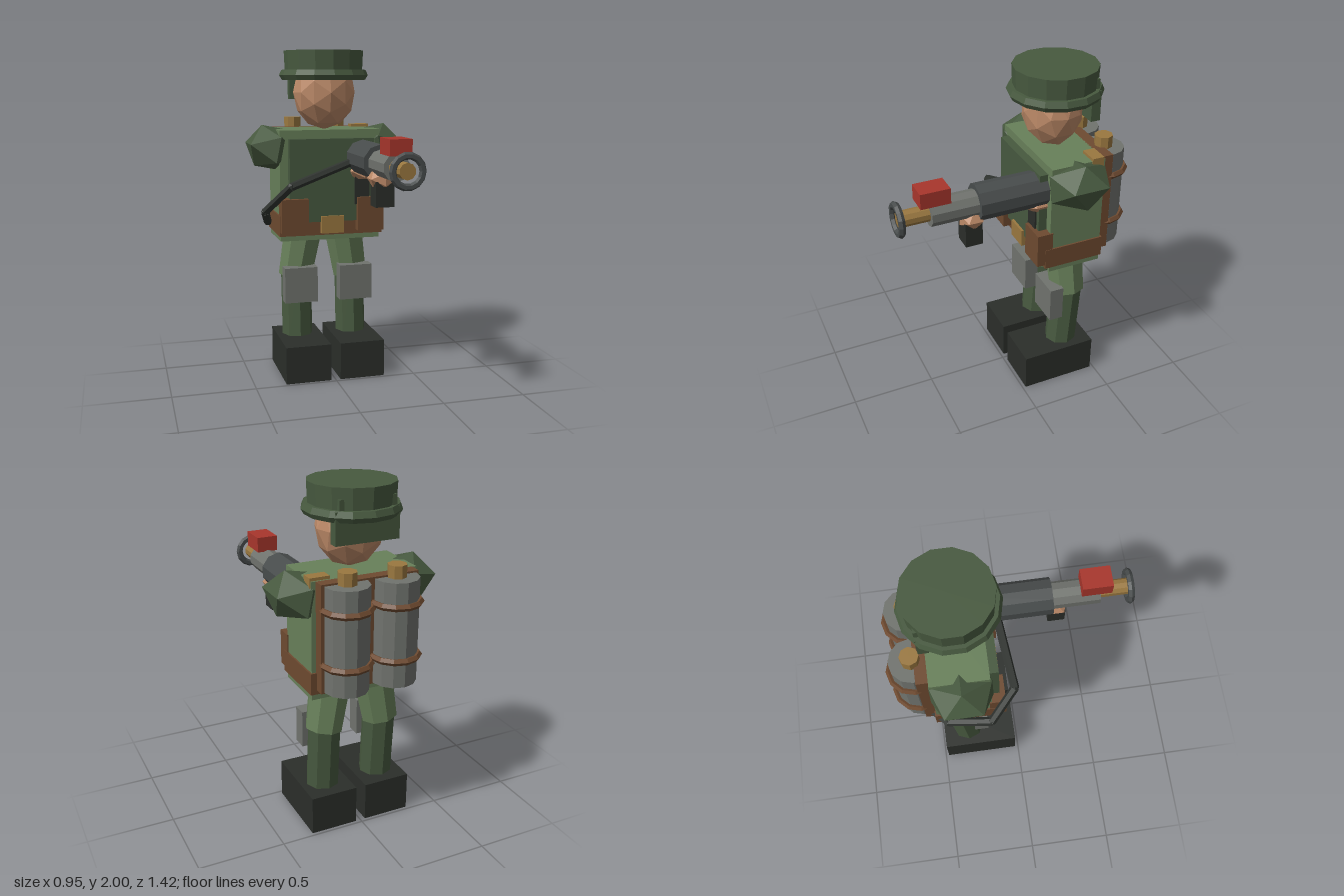
import * as THREE from 'three';

const mat = (color) => new THREE.MeshStandardMaterial({ color, flatShading: true });
const M = {
  green: mat(0x68805a), dark: mat(0x47593f), boot: mat(0x2b2e2a), skin: mat(0xbd8a68),
  brown: mat(0x6e4a30), grey: mat(0x70736e), steel: mat(0x484c4c), brass: mat(0x9a7840),
  red: mat(0xa8362c), strap: mat(0x2f332f),
};

export function createModel() {
  const root = new THREE.Group();
  root.name = 'soldier';

  const add = (name, geo, m, x = 0, y = 0, z = 0) => {
    const mesh = new THREE.Mesh(geo, m);
    mesh.name = name;
    mesh.position.set(x, y, z);
    root.add(mesh);
    return mesh;
  };
  // box given by its minimum and maximum on each axis
  const box = (name, m, x0, x1, y0, y1, z0, z1) =>
    add(name, new THREE.BoxGeometry(x1 - x0, y1 - y0, z1 - z0), m,
      (x0 + x1) / 2, (y0 + y1) / 2, (z0 + z1) / 2);
  // cylinder from point a (radius ra) to point b (radius rb)
  const rod = (name, m, a, b, ra, rb, sides = 8) => {
    const p = new THREE.Vector3(...a), q = new THREE.Vector3(...b);
    const d = q.clone().sub(p);
    const c = p.clone().add(q).multiplyScalar(0.5);
    const mesh = add(name, new THREE.CylinderGeometry(rb, ra, d.length(), sides), m, c.x, c.y, c.z);
    mesh.quaternion.setFromUnitVectors(new THREE.Vector3(0, 1, 0), d.normalize());
    return mesh;
  };

  // Legs, shoulders, pouches and air tanks, mirrored
  for (const s of [1, -1]) {
    const side = s > 0 ? 'left' : 'right';
    const x = s * 0.17;
    box(side + 'Boot', M.boot, x - 0.14, x + 0.14, 0, 0.23, -0.48, -0.02);
    rod(side + 'LowerLeg', M.dark, [s * 0.175, 0.2, -0.32], [s * 0.175, 0.64, -0.35], 0.097, 0.097);
    rod(side + 'Thigh', M.green, [s * 0.18, 0.6, -0.35], [s * 0.13, 0.9, -0.335], 0.108, 0.122);
    box(side + 'KneePad', M.grey, s * 0.175 - 0.103, s * 0.175 + 0.103, 0.46, 0.68, -0.275, -0.19);

    const shoulder = add(side + 'Shoulder', new THREE.IcosahedronGeometry(1, 0).scale(0.19, 0.148, 0.2),
      M.dark, s * 0.315, 1.413, -0.315);
    shoulder.rotation.z = s * 0.2;

    const px = s * 0.235;
    box(side + 'Pouch', M.brown, px - 0.082, px + 0.082, 0.92, 1.125, -0.17, -0.075);

    const tx = s * 0.145;
    add(side + 'Tank', new THREE.CylinderGeometry(0.125, 0.125, 0.59, 12), M.grey, tx, 1.225, -0.555);
    add(side + 'TankValve', new THREE.CylinderGeometry(0.053, 0.053, 0.08, 8), M.brass, tx, 1.55, -0.56);
    for (const y of [1.085, 1.39]) {
      const band = add(side + 'TankBand', new THREE.TorusGeometry(0.13, 0.02, 5, 12), M.brown, tx, y, -0.558);
      band.rotation.x = Math.PI / 2;
    }
  }

  // Torso, vest, belt and back plate
  box('torso', M.green, -0.31, 0.31, 0.86, 1.53, -0.48, -0.155);
  box('vest', M.dark, -0.26, 0.26, 0.98, 1.48, -0.16, -0.105);
  box('belt', M.brown, -0.32, 0.32, 0.895, 1.02, -0.49, -0.125);
  box('buckle', M.brass, -0.07, 0.07, 0.91, 1.015, -0.14, -0.09);
  box('backPlate', M.brown, -0.285, 0.285, 0.92, 1.53, -0.545, -0.475);
  box('shoulderClip', M.brass, 0.2, 0.315, 1.49, 1.547, -0.47, -0.4);

  // Head and helmet
  add('head', new THREE.IcosahedronGeometry(1, 1).scale(0.195, 0.225, 0.172), M.skin, 0, 1.75, -0.3);
  add('helmet', new THREE.CylinderGeometry(0.242, 0.235, 0.16, 14), M.dark, 0, 1.92, -0.315);
  const brim = [[0, 1.83], [0.255, 1.825], [0.272, 1.853], [0.258, 1.885], [0.2, 1.885]]
    .map(([r, y]) => new THREE.Vector2(r, y));
  add('helmetBrim', new THREE.LatheGeometry(brim, 14), M.dark, 0, 0, -0.315);
  box('neckFlap', M.dark, -0.185, 0.185, 1.705, 1.88, -0.503, -0.447);
  box('helmetBand', M.dark, -0.165, 0.165, 1.84, 1.94, -0.503, -0.465);

  // Launcher along z, each section as [name, material, back z, front z, radius]
  const gx = 0.19, gy = 1.367;
  for (const [name, m, z0, z1, r] of [
    ['launcherBody', M.steel, -0.2, 0.25, 0.105],
    ['launcherSleeve', M.grey, 0.24, 0.52, 0.077],
    ['launcherNozzle', M.brass, 0.5, 0.69, 0.046],
  ]) rod(name, m, [gx, gy, z0], [gx, gy, z1], r, r, 10);
  add('muzzleRing', new THREE.TorusGeometry(0.083, 0.02, 6, 14), M.steel, gx, gy, 0.69);
  box('launcherSight', M.red, 0.13, 0.255, 1.435, 1.525, 0.41, 0.58);
  box('frontGrip', M.boot, 0.135, 0.245, 1.125, 1.27, 0.23, 0.33);
  box('rearGrip', M.boot, 0.14, 0.23, 1.08, 1.27, -0.17, -0.095);
  for (const z of [0.275, -0.125])
    add('hand', new THREE.IcosahedronGeometry(1, 0).scale(0.092, 0.07, 0.08), M.skin, gx, 1.282, z);

  // Hose from the launcher round the right hip to the tanks
  const hose = [[0.13, 1.35, -0.07], [-0.27, 1.21, -0.02], [-0.4, 1.045, -0.17],
    [-0.34, 0.94, -0.42], [-0.22, 0.97, -0.55]];
  hose.forEach((p, i) => {
    if (i) rod('hose', M.strap, hose[i - 1], p, 0.025, 0.025, 6);
    add('hoseJoint', new THREE.IcosahedronGeometry(0.026, 0), M.strap, ...p);
  });

  return root;
}
